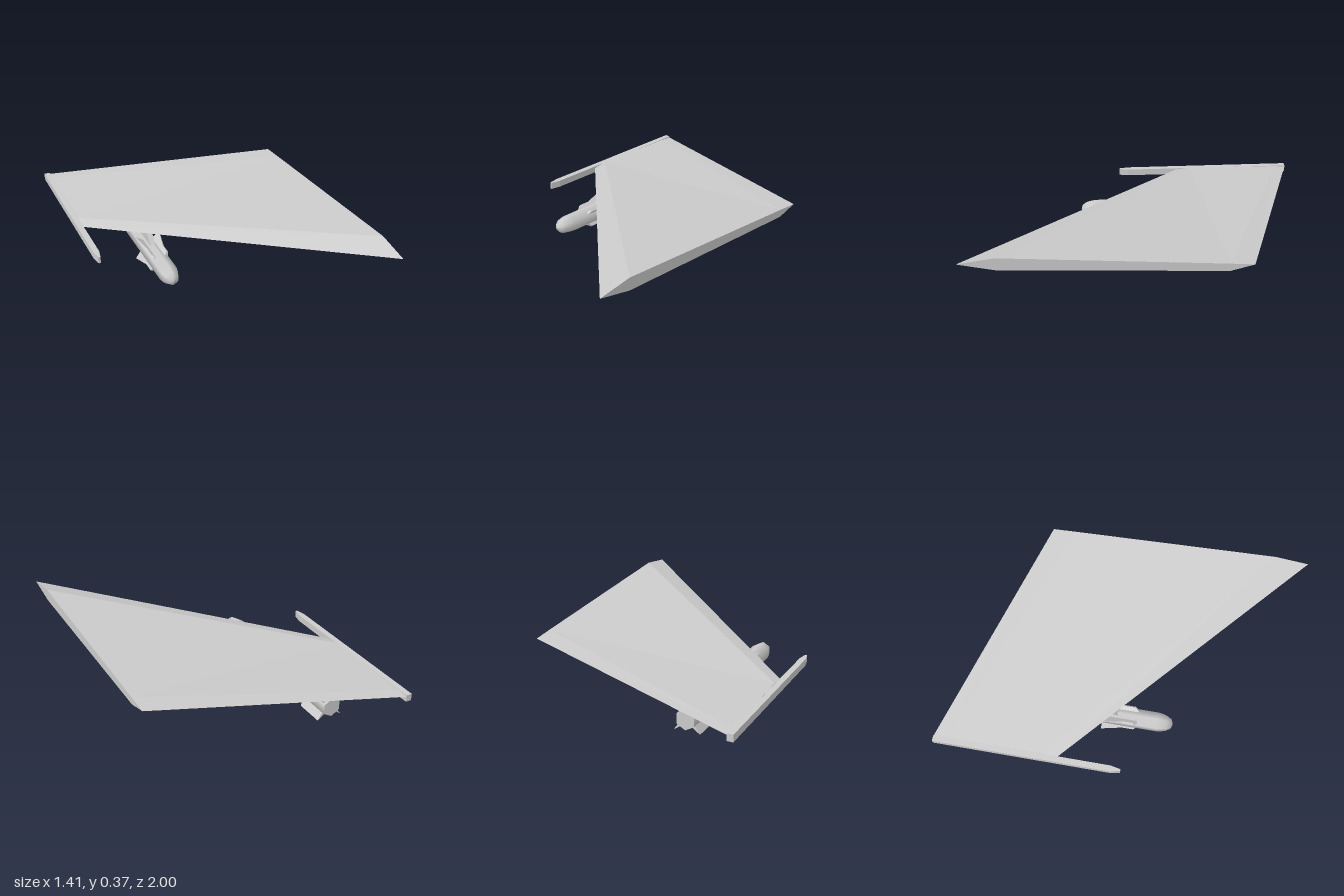
import * as THREE from 'three';

const flat = new THREE.MeshStandardMaterial({ color: 0xcccccc, flatShading: true });
const smooth = new THREE.MeshStandardMaterial({ color: 0xcccccc });

function add(parent, name, geometry, material = flat) {
  const mesh = new THREE.Mesh(geometry, material);
  mesh.name = name;
  parent.add(mesh);
  return mesh;
}

// Centred slab from an outline
function slab(points, thickness) {
  const shape = new THREE.Shape(points.map(([a, b]) => new THREE.Vector2(a, b)));
  return new THREE.ExtrudeGeometry(shape, { depth: thickness, bevelEnabled: false })
    .translate(0, 0, -thickness / 2);
}

// Slab whose outline is [z, y], thick along x
const sideSlab = (points, thickness) => slab(points, thickness).rotateY(-Math.PI / 2);

// Solid between two [z, y] sections at two x positions
function loftX(xa, sectionA, xb, sectionB) {
  const n = sectionA.length, position = [], index = [];
  sectionA.forEach(([z, y]) => position.push(xa, y, z));
  sectionB.forEach(([z, y]) => position.push(xb, y, z));
  for (let i = 0; i < n; i++) {
    const j = (i + 1) % n;
    index.push(i, n + i, n + j, i, n + j, j);
    if (i > 0 && i < n - 1) index.push(0, i, i + 1, n, n + i + 1, n + i);
  }
  const g = new THREE.BufferGeometry();
  g.setAttribute('position', new THREE.Float32BufferAttribute(position, 3));
  g.setIndex(index);
  const out = g.toNonIndexed();
  out.computeVertexNormals();
  return out;
}

// Fin from a [z, radius] outline, thinning to a sharp tip
function fin(points, tipRadius) {
  const g = sideSlab(points, 0.04);
  const p = g.attributes.position;
  for (let i = 0; i < p.count; i++) {
    p.setX(i, p.getX(i) * Math.max(0.03, 1 - p.getY(i) / tipRadius));
  }
  g.computeVertexNormals();
  return g;
}

export function createModel() {
  const model = new THREE.Group();
  model.name = 'wing assembly';

  // Swept, tapered wing panel with a six-sided section
  const tip = [[-0.27, 0.173], [-0.36, 0.186], [-0.93, 0.18], [-1, 0.175], [-0.93, 0.156], [-0.36, 0.16]];
  const root = [[1, 0.34], [0.8, 0.37], [-0.43, 0.29], [-0.56, 0.28], [-0.43, 0.245], [0.8, 0.297]];
  add(model, 'wing', loftX(-0.675, tip, 0.705, root));

  // Wing tip launch rail with a tapered nose
  const rail = add(model, 'tipRail', slab([
    [-0.0175, -1], [0.0175, -1], [0.0175, 0.04], [0.006, 0.1], [-0.006, 0.1], [-0.0175, 0.04],
  ], 0.041).rotateX(Math.PI / 2));
  rail.position.set(-0.692, 0.163, 0);

  // Underwing pylons
  const inner = add(model, 'innerPylon', sideSlab([
    [0.32, 0.157], [0.29, 0.253], [-0.28, 0.235], [-0.28, 0.157]], 0.032));
  inner.position.x = 0.265;
  const outer = add(model, 'outerPylon', sideSlab([
    [0.03, 0.13], [-0.02, 0.188], [-0.68, 0.182], [-0.68, 0.13]], 0.03));
  outer.position.x = -0.345;

  // Six-sided missile
  const missile = new THREE.Group();
  missile.name = 'missile';
  missile.position.set(-0.345, 0.081, 0);
  model.add(missile);

  const profile = [[0, 0.355], [0.028, 0.345], [0.045, 0.32], [0.054, 0.29], [0.058, 0.26], [0.058, -0.775]]
    .reverse().map(([r, z]) => new THREE.Vector2(r, z));
  add(missile, 'missileBody', new THREE.LatheGeometry(profile, 6).rotateX(Math.PI / 2), smooth);
  const end = add(missile, 'missileTail', new THREE.CircleGeometry(0.058, 6, Math.PI / 2).rotateY(Math.PI));
  end.position.z = -0.775;

  // Crossed fore and tail fins
  const foreFin = fin([[0.145, 0.03], [0.145, 0.055], [0.125, 0.074], [0.06, 0.074], [-0.065, 0.107], [-0.065, 0.03]], 0.107);
  const tailFin = fin([[-0.56, 0.03], [-0.56, 0.055], [-0.59, 0.107], [-0.755, 0.107], [-0.755, 0.03]], 0.107);
  for (let i = 0; i < 4; i++) {
    const angle = Math.PI / 4 + i * Math.PI / 2;
    add(missile, 'foreFin', foreFin).rotation.z = angle;
    add(missile, 'tailFin', tailFin).rotation.z = angle;
  }
  return model;
}
